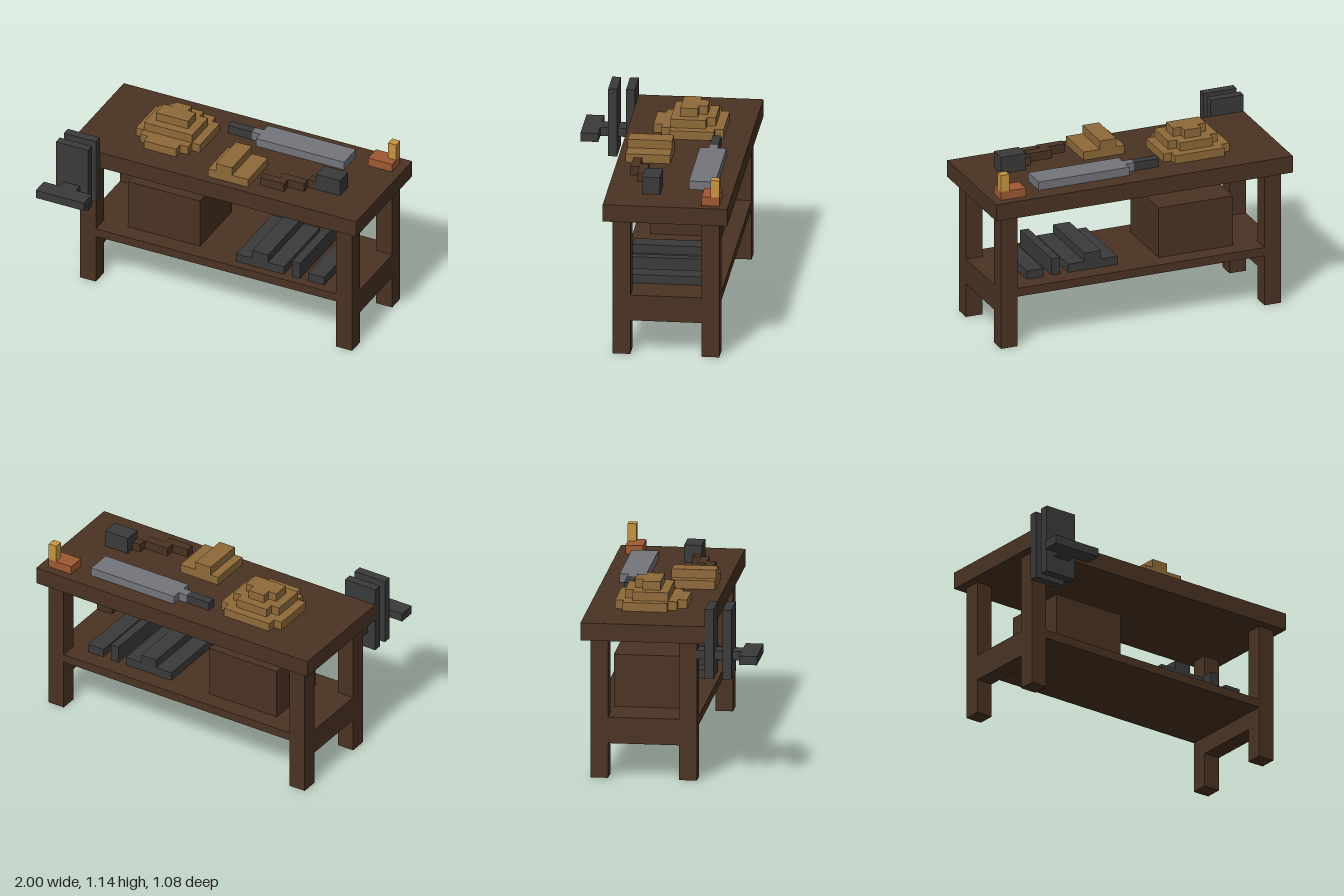
import * as THREE from 'three';

const U = 2 / 37; // one block

export function createModel() {
  const root = new THREE.Group();
  root.name = 'workbench';

  const mat = (name, color) => {
    const m = new THREE.MeshStandardMaterial({ color });
    m.name = name;
    return m;
  };
  const wood = mat('dark wood', 0x4a3322);
  const iron = mat('dark iron', 0x3a3a3a);
  const tan = mat('tan', 0x8f6a39);
  const steel = mat('steel', 0x73757b);
  const clay = mat('terracotta', 0xa05932);
  const wax = mat('amber', 0xc89440);

  const group = (name) => {
    const g = new THREE.Group();
    g.name = name;
    root.add(g);
    return g;
  };
  // Block given by [from, to] ranges in grid units
  const block = (parent, name, material, [x0, x1], [y0, y1], [z0, z1]) => {
    const mesh = new THREE.Mesh(
      new THREE.BoxGeometry((x1 - x0) * U, (y1 - y0) * U, (z1 - z0) * U), material);
    mesh.position.set(((x0 + x1) / 2 - 18.5) * U, ((y0 + y1) / 2) * U, ((z0 + z1) / 2 - 10) * U);
    mesh.name = name;
    parent.add(mesh);
  };

  // Table
  const table = group('table');
  block(table, 'tableTop', wood, [1, 37], [16, 18], [0, 14]);
  block(table, 'shelf', wood, [4, 34], [6, 7], [1, 13]);
  for (const x of [2, 34]) {
    for (const z of [1, 11]) block(table, 'leg', wood, [x, x + 2], [0, 16], [z, z + 2]);
    block(table, 'sideRail', wood, [x, x + 2], [4, 7], [3, 11]);
  }

  // Things on the shelf
  const stored = group('shelfContents');
  block(stored, 'crate', wood, [7, 16], [7, 13], [3, 11]);
  block(stored, 'wideBar', iron, [21, 27], [7, 8], [3, 12]);
  block(stored, 'stackedBar', iron, [23, 25], [8, 9], [3, 12]);
  block(stored, 'uprightBar', iron, [28, 29], [7, 9], [3, 12]);
  block(stored, 'flatBar', iron, [30, 32], [7, 8], [3, 12]);

  // Vise on the front left corner as seen
  const vise = group('vise');
  for (const z of [14, 16]) block(vise, 'viseJaw', iron, [1, 5], [12, 20], [z, z + 1]);
  block(vise, 'viseScrew', iron, [2, 4], [14, 15], [13, 18]);
  block(vise, 'viseHandle', iron, [0, 6], [14, 15], [18, 20]);

  // Coil: three tiers, each built from rows [x0, x1, z0, z1]
  const coil = group('coil');
  const tiers = [
    [[8, 14, 3, 4], [7, 15, 4, 9], [8, 14, 9, 10], [9, 13, 10, 11]],
    [[9, 13, 4, 5], [8, 14, 5, 9]],
    [[10, 12, 5, 6], [9, 13, 6, 8]],
  ];
  tiers.forEach((rows, i) => rows.forEach(([a, b, c, d]) =>
    block(coil, 'coilTier' + (i + 1), tan, [a, b], [18 + i, 19 + i], [c, d])));

  // Planks
  const planks = group('planks');
  block(planks, 'lowerPlank', tan, [18, 23], [18, 19], [8, 13]);
  block(planks, 'upperPlank', tan, [19, 21], [19, 20], [8, 13]);

  // Saw
  const saw = group('saw');
  block(saw, 'sawGrip', iron, [16, 19], [18, 19], [3, 4]);
  block(saw, 'sawNeck', steel, [19, 20], [18, 19], [3, 4]);
  block(saw, 'sawBlade', steel, [20, 31], [18, 19], [2, 5]);

  // Hammer with a stepped handle
  const hammer = group('hammer');
  block(hammer, 'hammerHead', iron, [30, 33], [18, 20], [8, 10]);
  for (const [a, b, z] of [[29, 30, 9], [26, 29, 10], [24, 27, 11]])
    block(hammer, 'hammerHandle', wood, [a, b], [18, 19], [z, z + 1]);

  // Candle on its dish
  const candle = group('candleStand');
  block(candle, 'dish', clay, [33, 36], [18, 19], [1, 3]);
  block(candle, 'candle', wax, [35, 36], [19, 21], [1, 2]);

  return root;
}
